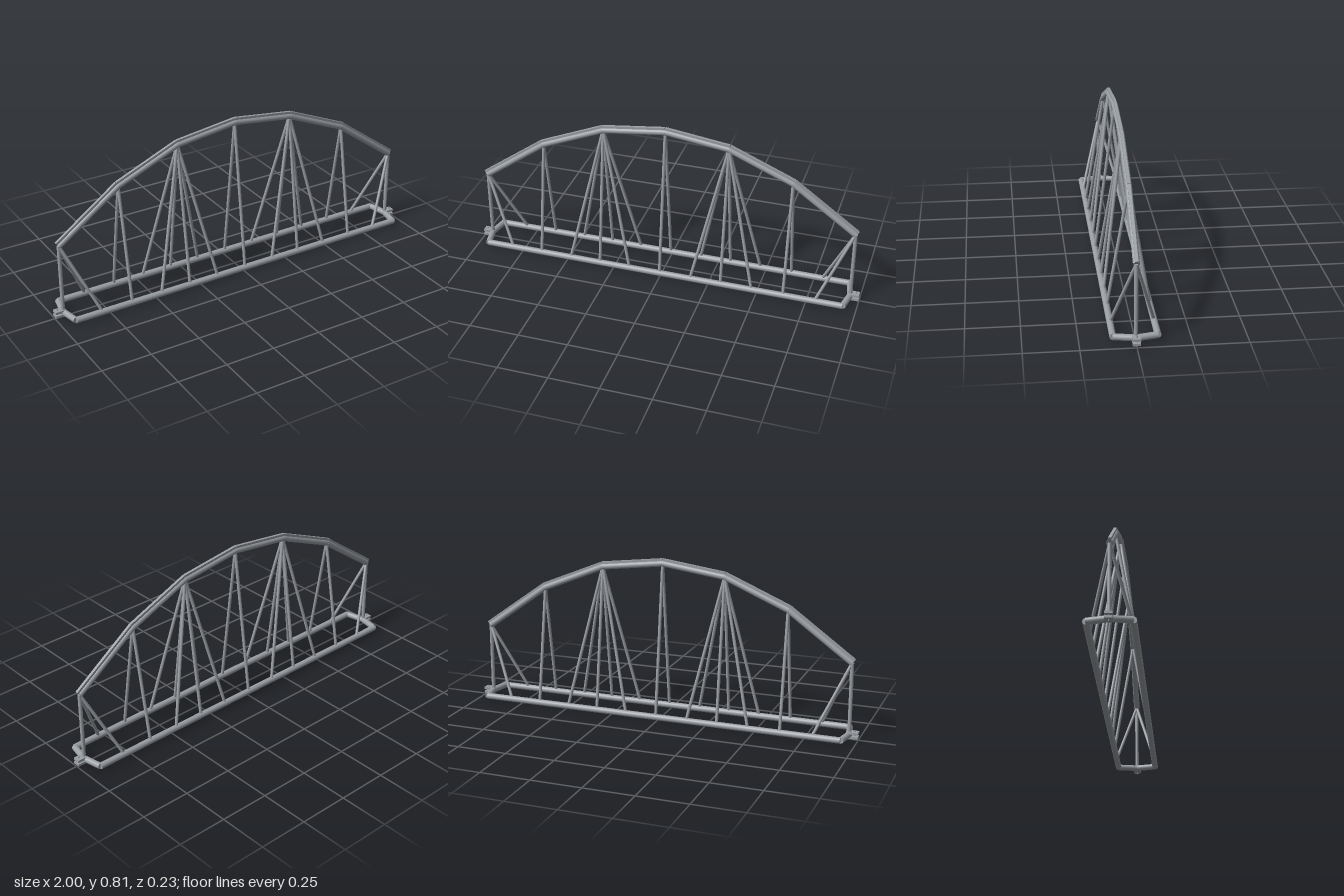
import * as THREE from 'three';

export function createModel() {
  const model = new THREE.Group();
  model.name = 'archTruss';
  const steel = new THREE.MeshStandardMaterial({ color: 0x9a9fa4 });
  steel.name = 'steel grey';

  const V = (x, y, z) => new THREE.Vector3(x, y, z);
  const UP = V(0, 1, 0);

  function add(name, geometry) {
    const mesh = new THREE.Mesh(geometry, steel);
    mesh.name = name;
    model.add(mesh);
    return mesh;
  }

  // round tube between two points
  function tube(name, a, b, r) {
    const d = b.clone().sub(a);
    const mesh = add(name, new THREE.CylinderGeometry(r, r, d.length(), 20));
    mesh.position.copy(a).lerp(b, 0.5);
    mesh.quaternion.setFromUnitVectors(UP, d.normalize());
  }

  const baseY = 0.025, halfWidth = 0.1, endX = 0.955, chordR = 0.0155, webR = 0.0078;

  // arched top chord with a square rail along its crest
  const arch = [[-endX, 0.382], [-0.637, 0.611], [-0.318, 0.745], [0, 0.786],
    [0.318, 0.745], [0.637, 0.611], [endX, 0.382]].map(([x, y]) => V(x, y, 0));
  for (let i = 0; i < arch.length - 1; i++) {
    const a = arch[i], b = arch[i + 1];
    tube('topChord', a, b, chordR);
    const d = b.clone().sub(a);
    const rail = add('crestRail', new THREE.BoxGeometry(d.length() + 0.004, 0.016, 0.014));
    const angle = Math.atan2(d.y, d.x);
    rail.rotation.z = angle;
    rail.position.copy(a).lerp(b, 0.5).add(V(-Math.sin(angle), Math.cos(angle), 0).multiplyScalar(0.017));
  }
  // rounded joints between the arch segments
  for (const p of arch.slice(1, -1)) {
    add('archJoint', new THREE.SphereGeometry(chordR, 20, 12)).position.copy(p);
  }

  // two bottom chords and the web members that rise from them to the arch
  const web = [
    [0, 0.786, [0]],
    [0.318, 0.745, [0.16, 0.318, 0.477]],
    [0.637, 0.611, [0.637]],
    [endX, 0.382, [0.795]],
  ];
  for (const side of [-1, 1]) {
    const z = side * halfWidth;
    tube('bottomChord', V(-0.935, baseY, z), V(0.935, baseY, z), chordR);
    for (const [x, y, feet] of web) {
      for (const mirror of x === 0 ? [1] : [-1, 1]) {
        for (const foot of feet) {
          tube('webMember', V(mirror * x, y, 0), V(mirror * foot, baseY, z), webR);
        }
      }
    }
  }

  // ends: bent cross tubes, upright post and pinned coupling plates
  for (const s of [-1, 1]) {
    for (const side of [-1, 1]) {
      tube('endCrossTube', V(s * endX, baseY, 0), V(s * 0.935, baseY, side * halfWidth), chordR);
    }
    tube('endPost', V(s * endX, baseY, 0), V(s * endX, 0.382, 0), 0.0095);
    for (const y of [0.014, 0.035]) {
      add('couplingPlate', new THREE.BoxGeometry(0.045, 0.012, 0.036)).position.set(s * 0.9775, y, 0);
    }
    tube('couplingPin', V(s * 0.984, 0, 0), V(s * 0.984, 0.05, 0), 0.003);
  }
  return model;
}
